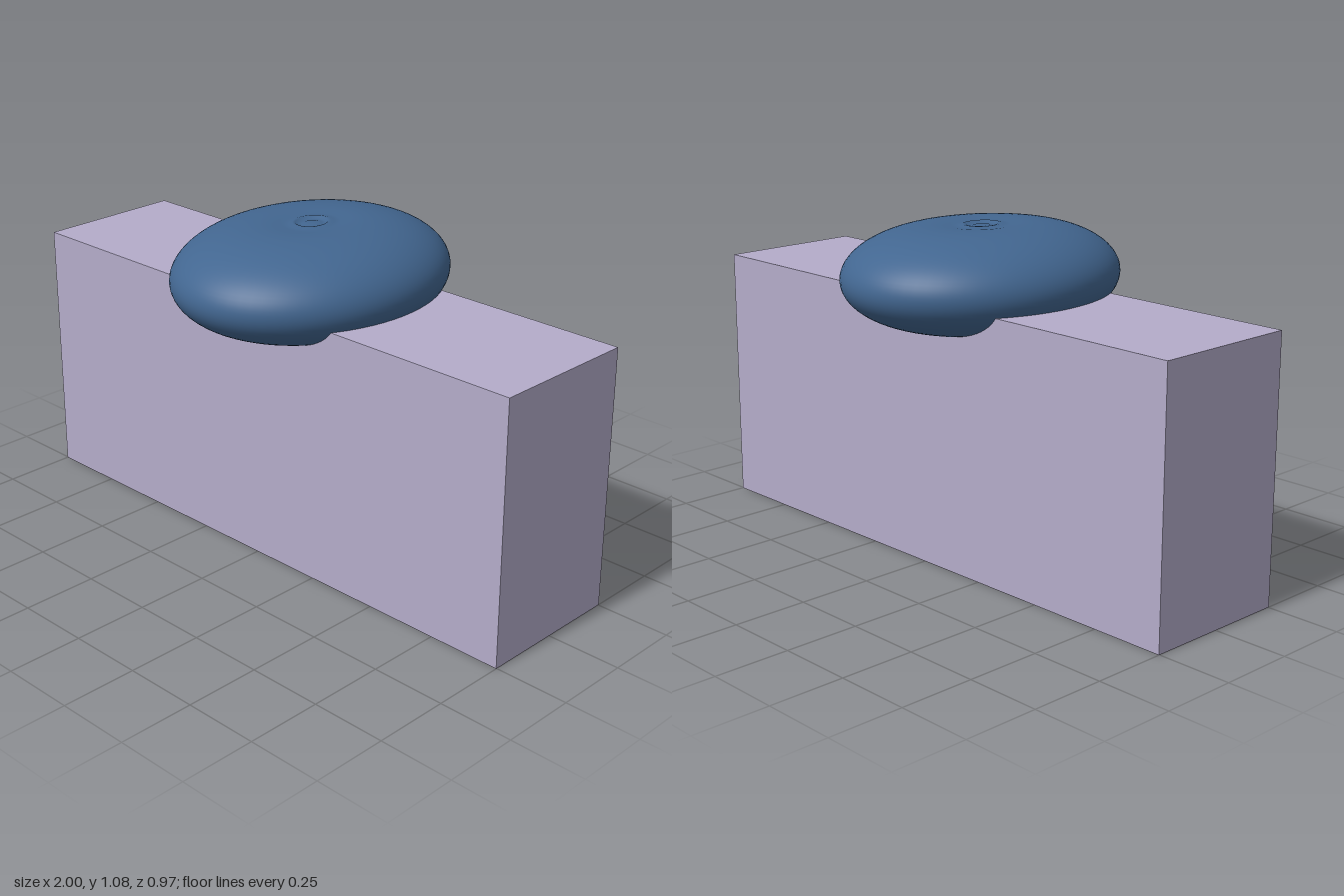
import * as THREE from 'three';

export function createModel() {
  const group = new THREE.Group();
  const lilac = new THREE.MeshStandardMaterial({ color: 0xb4acca });
  lilac.name = 'lilac';
  const blue = new THREE.MeshStandardMaterial({ color: 0x426690 });
  blue.name = 'steel blue';

  // Long upright block
  const block = new THREE.Mesh(new THREE.BoxGeometry(2, 0.865, 0.505), lilac);
  block.name = 'block';
  block.position.y = 0.4325;
  group.add(block);

  // Oval cushion: a rounded rim around a nearly flat middle, unit radius
  const core = 0.32, half = 0.16;
  const profile = [new THREE.Vector2(0, -half)];
  for (let i = 0; i <= 40; i++) {
    const a = -Math.PI / 2 + (i / 40) * Math.PI;
    profile.push(new THREE.Vector2(core + (1 - core) * Math.cos(a), half * Math.sin(a)));
  }
  // Shallow dimple with a slightly raised lip
  for (const [r, y] of [[0.24, 0.159], [0.2, 0.157], [0.16, 0.158], [0.135, 0.161],
    [0.115, 0.16], [0.1, 0.153], [0.07, 0.154], [0.05, 0.157], [0, 0.157]]) {
    profile.push(new THREE.Vector2(r, y));
  }
  const cushion = new THREE.Mesh(new THREE.LatheGeometry(profile, 72), blue);
  cushion.name = 'cushion';
  cushion.scale.set(0.405, 1, 0.483);
  cushion.position.y = 0.917;
  group.add(cushion);

  return group;
}
